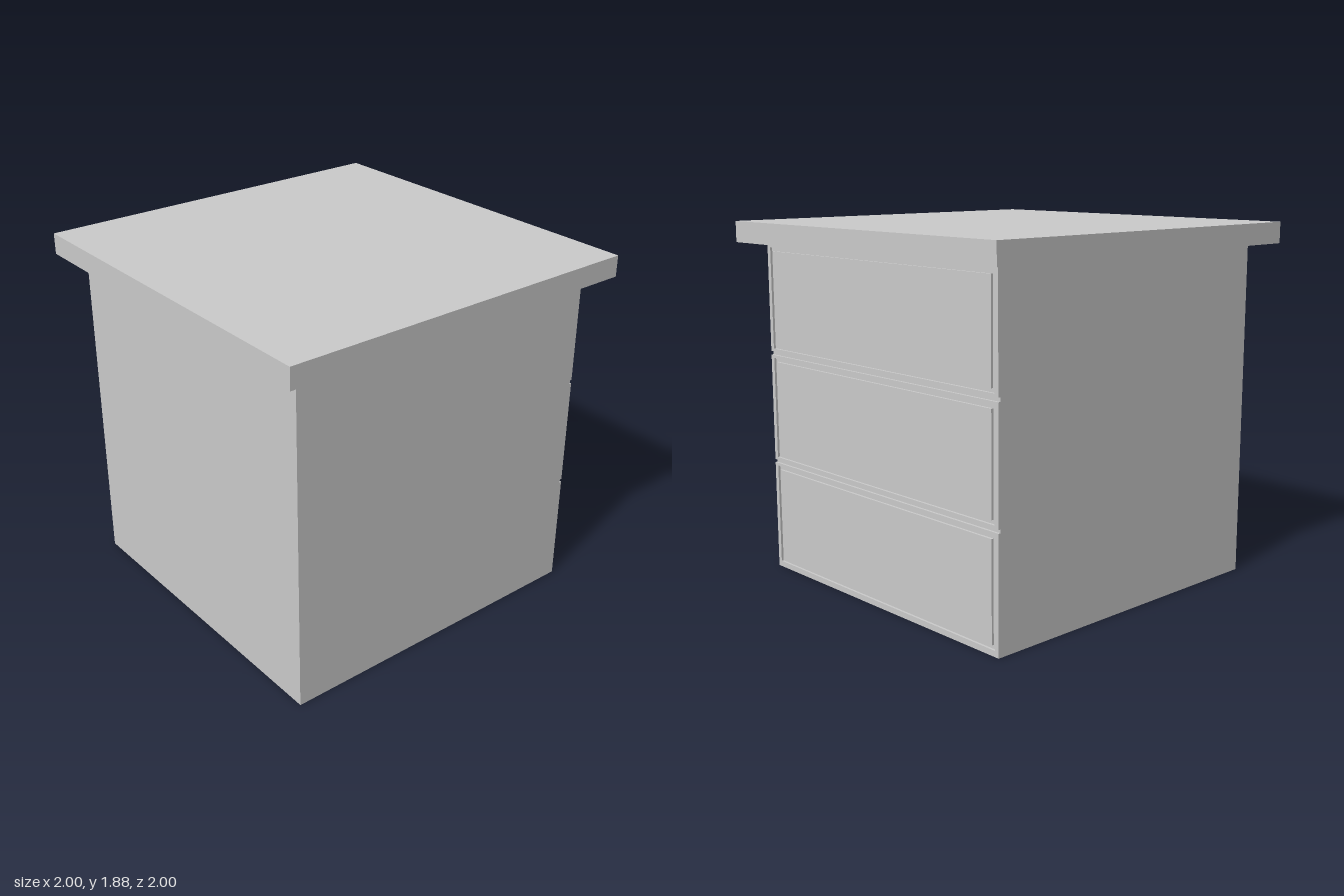
import * as THREE from 'three';

const material = new THREE.MeshStandardMaterial({ color: 0xcccccc, flatShading: true });
const HALF = 0.885;   // half width of the cabinet
const DEPTH = 0.012;  // groove depth
const RIM = 0.025;    // side rim around each drawer
const GROOVE = 0.02;  // groove width

function addBox(parent, name, min, max) {
  const size = max.map((v, i) => v - min[i]);
  const mesh = new THREE.Mesh(new THREE.BoxGeometry(...size), material);
  mesh.position.set(...max.map((v, i) => (v + min[i]) / 2));
  mesh.name = name;
  parent.add(mesh);
}

// Rectangle outline, used for the rim and its opening
function rect(path, x, y0, y1) {
  path.moveTo(-x, y0);
  path.lineTo(x, y0);
  path.lineTo(x, y1);
  path.lineTo(-x, y1);
  path.closePath();
  return path;
}

export function createModel() {
  const group = new THREE.Group();
  group.name = 'drawerCabinet';
  const back = HALF - DEPTH;

  addBox(group, 'cabinetBody', [-HALF, 0, -HALF], [back, 1.77, HALF]);
  addBox(group, 'topSlab', [-1, 1.77, -1], [1, 1.88, 1]);

  // Three drawers on the +x side: [rim bottom, groove bottom, groove top, rim top]
  const drawers = [
    [0, 0.03, 0.57, 0.585],
    [0.602, 0.617, 1.16, 1.175],
    [1.195, 1.21, 1.745, 1.77],
  ];
  drawers.forEach(([y0, g0, g1, y1], i) => {
    const drawer = new THREE.Group();
    drawer.name = `drawer${i + 1}`;

    // Raised outer rim with a rectangular opening
    const shape = rect(new THREE.Shape(), HALF, y0, y1);
    shape.holes.push(rect(new THREE.Path(), HALF - RIM, g0, g1));
    const rim = new THREE.Mesh(
      new THREE.ExtrudeGeometry(shape, { depth: DEPTH, bevelEnabled: false }), material);
    rim.rotation.y = Math.PI / 2;
    rim.position.x = back;
    rim.name = 'drawerRim';
    drawer.add(rim);

    // Panel standing inside the groove
    const z = HALF - RIM - GROOVE;
    addBox(drawer, 'drawerPanel', [back, g0 + GROOVE, -z], [HALF, g1 - GROOVE, z]);
    group.add(drawer);
  });

  return group;
}
